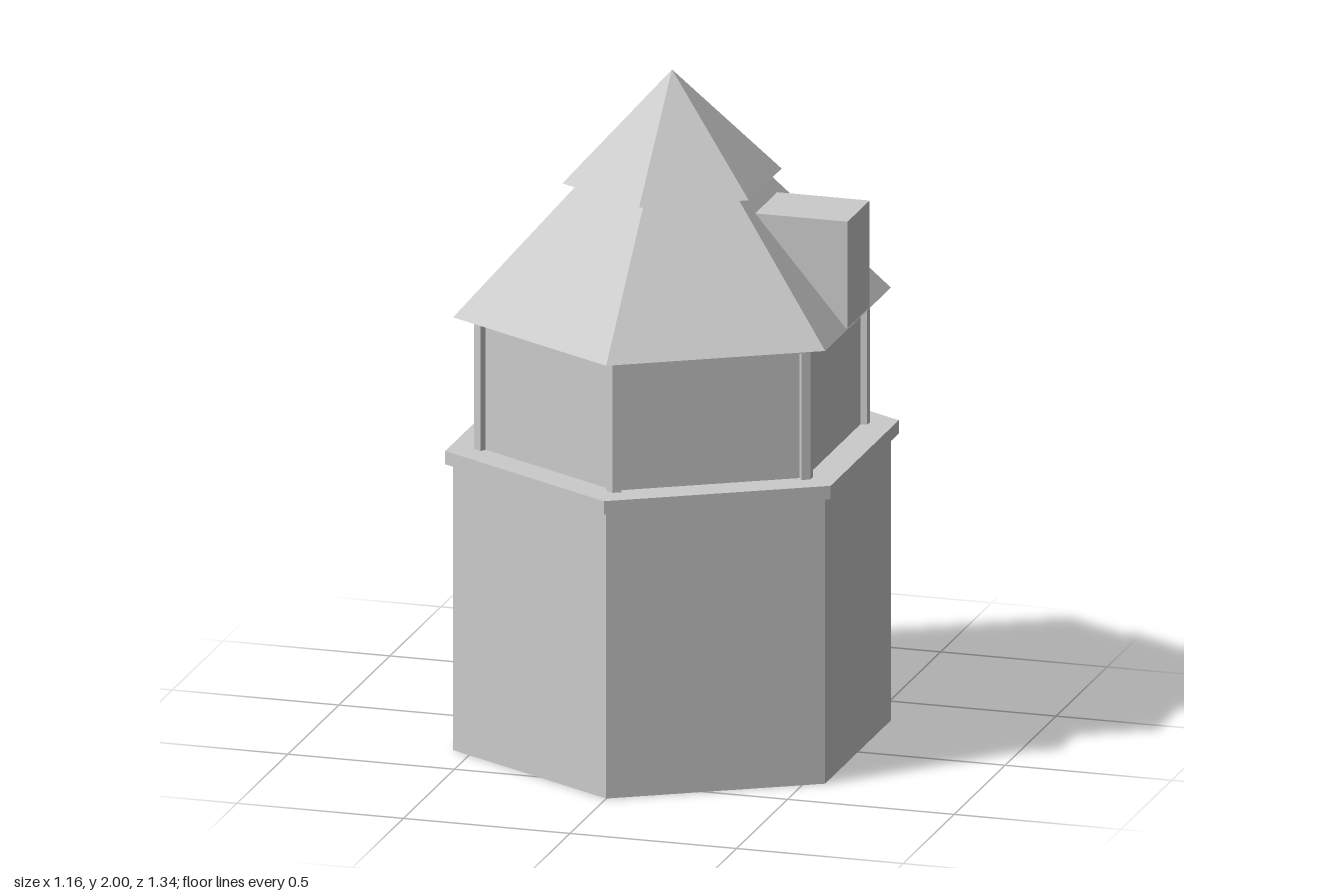
import * as THREE from 'three';

const material = new THREE.MeshStandardMaterial({ color: 0xcccccc, flatShading: true });

function add(parent, name, geometry) {
  const mesh = new THREE.Mesh(geometry, material);
  mesh.name = name;
  parent.add(mesh);
  return mesh;
}

// Six-sided prism, frustum or pyramid with corners on the z axis
function hexPrism(rTop, rBottom, y0, y1) {
  return new THREE.CylinderGeometry(rTop, rBottom, y1 - y0, 6).translate(0, (y0 + y1) / 2, 0);
}

// Plan outline extruded upwards between two heights
function extrudeUp(shape, y0, y1) {
  return new THREE.ExtrudeGeometry(shape, { depth: y1 - y0, bevelEnabled: false })
    .rotateX(-Math.PI / 2).translate(0, y0, 0);
}

function hexPoints(r) {
  return Array.from({ length: 6 }, (_, i) => {
    const a = i * Math.PI / 3;
    return new THREE.Vector2(Math.sin(a) * r, Math.cos(a) * r);
  });
}

export function createModel() {
  const model = new THREE.Group();
  model.name = 'hexagonalTower';
  const cos30 = Math.cos(Math.PI / 6);

  // Lower storey and ledge
  add(model, 'base', hexPrism(0.645, 0.645, 0, 0.86));
  add(model, 'ledge', hexPrism(0.668, 0.668, 0.86, 0.9));

  // Upper storey: recessed panels framed by corner posts and a lintel
  const frameR = 0.583, inset = 0.02, postWidth = 0.027;
  const panelR = frameR - inset / cos30;
  add(model, 'recessedPanels', hexPrism(panelR, panelR, 0.9, 1.3));

  const ring = new THREE.Shape(hexPoints(frameR));
  ring.holes.push(new THREE.Path(hexPoints(panelR - 0.01).reverse()));
  add(model, 'lintel', extrudeUp(ring, 1.28, 1.3));

  const px = cos30 * postWidth, py = frameR - 0.5 * postWidth;
  const depth = inset + 0.008;
  const post = extrudeUp(new THREE.Shape([
    new THREE.Vector2(0, frameR),
    new THREE.Vector2(-px, py),
    new THREE.Vector2(-px + 0.5 * depth, py - cos30 * depth),
    new THREE.Vector2(px - 0.5 * depth, py - cos30 * depth),
    new THREE.Vector2(px, py),
  ]), 0.9, 1.28);
  for (let i = 0; i < 6; i++) {
    add(model, 'cornerPost' + (i + 1), post).rotation.y = i * Math.PI / 3;
  }

  // Two-tier roof
  add(model, 'lowerRoof', hexPrism(0.273, 0.645, 1.3, 1.68));
  add(model, 'upperRoof', hexPrism(0, 0.323, 1.68, 2));

  // Chimney on the left slope
  add(model, 'chimney', new THREE.BoxGeometry(0.36, 0.32, 0.216).translate(0.38, 1.465, 0));

  return model;
}
